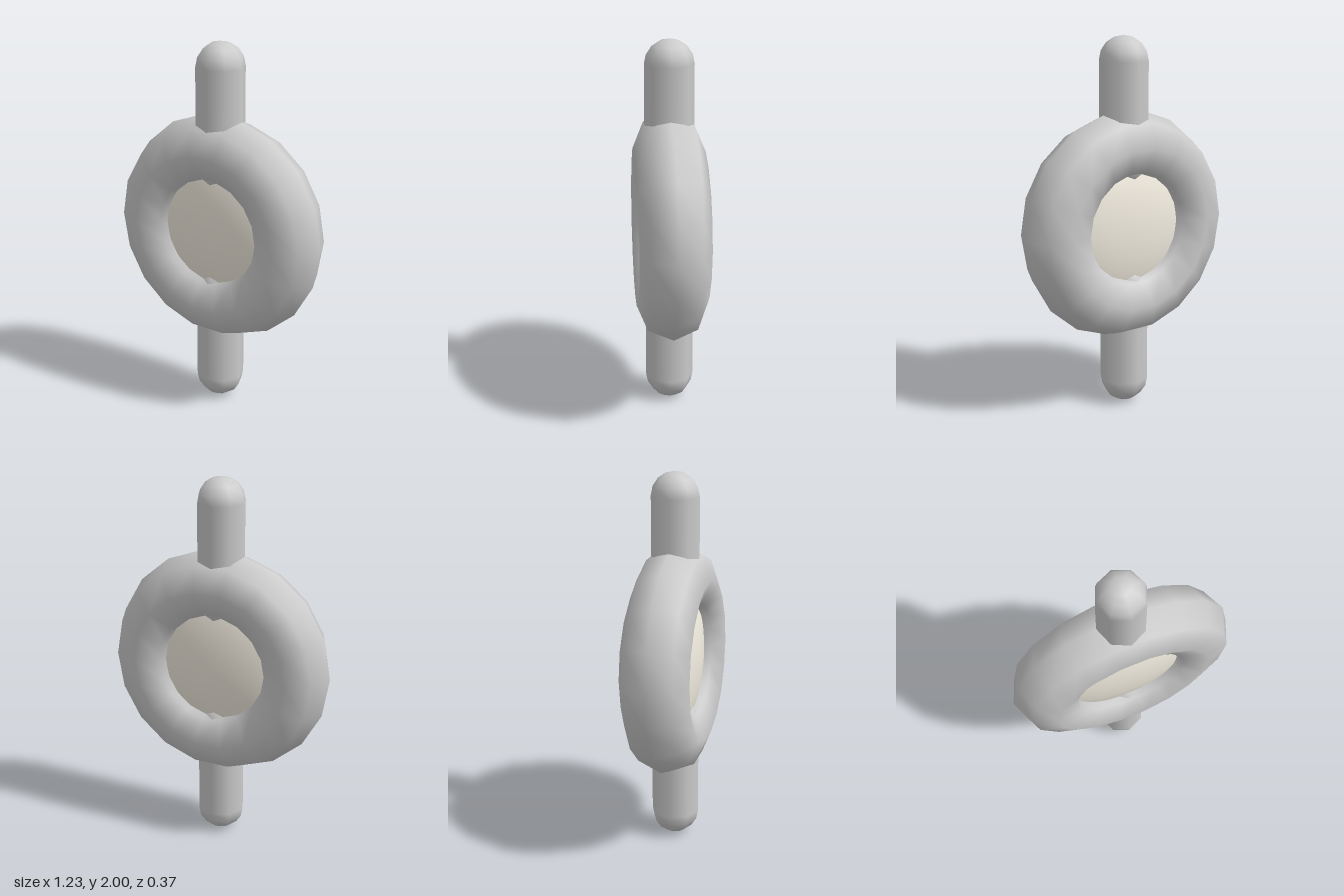
import * as THREE from 'three';

export function createModel() {
  const group = new THREE.Group();
  const grey = new THREE.MeshStandardMaterial({ color: 0xcccccc });
  const cream = new THREE.MeshStandardMaterial({ color: 0xf5efe2 });

  const add = (name, geometry, material, y) => {
    const mesh = new THREE.Mesh(geometry, material);
    mesh.name = name;
    mesh.position.y = y;
    group.add(mesh);
    return mesh;
  };

  // Upright ring, smooth-shaded with an eight-sided section
  add('ring', new THREE.TorusGeometry(0.431, 0.183, 8, 18), grey, 1);

  // Shallow lens filling the ring's hole
  const lens = add('lens', new THREE.SphereGeometry(0.42, 32, 24), cream, 1);
  lens.scale.z = 0.3;

  // Round-ended posts above and below, running through the ring into the hole
  const radius = 0.13, length = 0.787;
  const post = new THREE.CapsuleGeometry(radius, length - 2 * radius, 4, 8);
  add('upperPost', post, grey, 2 - length / 2);
  add('lowerPost', post, grey, length / 2);

  return group;
}
